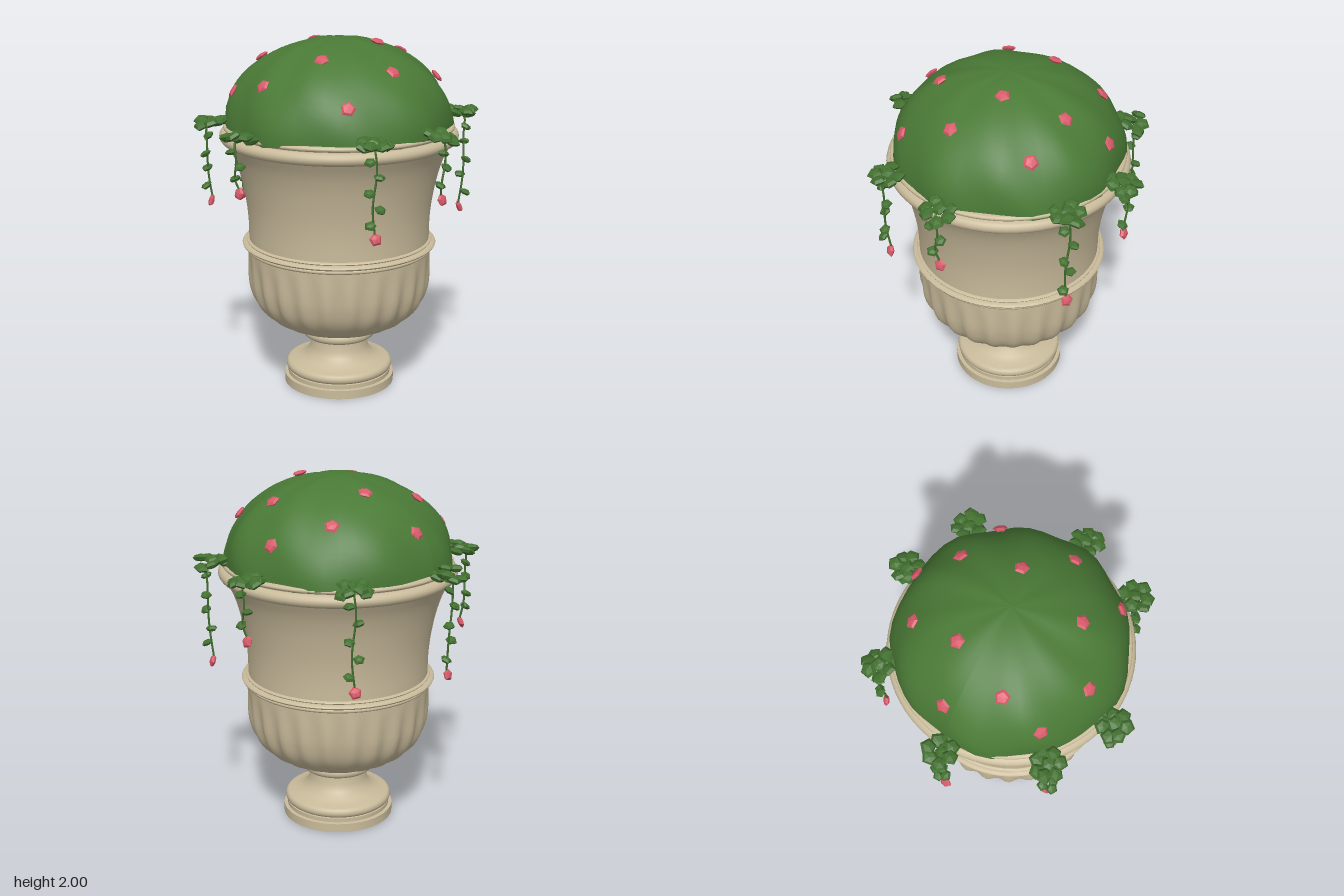
import * as THREE from 'three';
import { toCreasedNormals } from 'three/addons/utils/BufferGeometryUtils.js';

const stone = new THREE.MeshStandardMaterial({ color: 0xc9bb9b, side: THREE.DoubleSide });
const green = new THREE.MeshStandardMaterial({ color: 0x4a7a36, side: THREE.DoubleSide });
const leafGreen = new THREE.MeshStandardMaterial({ color: 0x42702f, flatShading: true });
const pink = new THREE.MeshStandardMaterial({ color: 0xd85a6a, flatShading: true });
const UP = new THREE.Vector3(0, 1, 0);

let seed = 7;
function rand(a, b) {
  seed = (seed * 16807) % 2147483647;
  return a + (b - a) * seed / 2147483647;
}

function named(geometry, material, name) {
  const mesh = new THREE.Mesh(geometry, material);
  mesh.name = name;
  return mesh;
}

function turned(points, name) {
  const geo = new THREE.LatheGeometry(points.map(p => new THREE.Vector2(...p)), 72);
  return named(toCreasedNormals(geo, 0.7), stone, name);
}

// Half-round bead bulging outward from radius r
function bead(r, y, bulge, half) {
  const pts = [];
  for (let i = 0; i <= 8; i++) {
    const a = -Math.PI / 2 + Math.PI * i / 8;
    pts.push([r + bulge * Math.cos(a), y + half * Math.sin(a)]);
  }
  return pts;
}

// Bowl with rounded gadroons that fade out at both ends
function bowl() {
  const curve = new THREE.SplineCurve([
    [0.17, 0.33], [0.28, 0.355], [0.39, 0.41], [0.465, 0.49], [0.5, 0.58], [0.512, 0.68], [0.515, 0.82],
  ].map(p => new THREE.Vector2(...p)));
  const geo = new THREE.LatheGeometry(curve.getPoints(24), 144);
  const pos = geo.attributes.position;
  for (let i = 0; i < pos.count; i++) {
    const x = pos.getX(i), z = pos.getZ(i), y = pos.getY(i);
    const fade = Math.sin(Math.PI * THREE.MathUtils.clamp((y - 0.33) / 0.47, 0, 1));
    const k = 1 + 0.022 * fade * (Math.cos(24 * Math.atan2(x, z)) - 0.3);
    pos.setXYZ(i, x * k, y, z * k);
  }
  return named(toCreasedNormals(geo, 0.9), stone, 'flutedBowl');
}

// Height of the flower mound above the rim
const moundY = r => 1.5 + 0.49 * Math.sqrt(Math.max(0, 1 - (r / 0.63) ** 2));

// Gently uneven dome of foliage
function mound() {
  const geo = new THREE.SphereGeometry(1, 48, 18, 0, Math.PI * 2, 0, Math.PI * 0.5);
  const pos = geo.attributes.position;
  for (let i = 0; i < pos.count; i++) {
    const x = pos.getX(i), y = pos.getY(i), z = pos.getZ(i);
    const a = Math.atan2(z, x), r = Math.hypot(x, z);
    const k = 1 + r * (0.012 * Math.sin(5 * a + 3 * y) + 0.012 * Math.sin(9 * a - 5 * y + 1));
    const edge = 0.012 * Math.sin(11 * a) * (1 - y);
    pos.setXYZ(i, x * 0.63 * k, 1.51 + edge + y * 0.488 * k, z * 0.63 * k);
  }
  geo.computeVertexNormals();
  return named(geo, green, 'foliageMound');
}

// Five-sided lens shared by leaves and blossoms
const lens = new THREE.SphereGeometry(1, 5, 4);
function petalDisc(position, normal, radius, thickness, material, name) {
  const mesh = named(lens, material, name);
  mesh.position.copy(position);
  mesh.quaternion.setFromUnitVectors(UP, normal.clone().normalize());
  mesh.rotateY(rand(0, 6.28));
  mesh.scale.set(radius, thickness, radius);
  return mesh;
}

// Trailing vine: arches over the rim, hangs to y = bottom, ends in a blossom
function vine(x, z, bottom) {
  const group = new THREE.Group();
  group.name = 'trailingVine';
  const out = new THREE.Vector3(x, 0, z).normalize();
  const side = new THREE.Vector3(out.z, 0, -out.x);
  const at = (r, y, s = 0) => out.clone().multiplyScalar(r).addScaledVector(side, s).setY(y);
  const path = new THREE.CatmullRomCurve3([
    at(0.6, 1.53), at(0.67, 1.56), at(0.725, 1.53), at(0.73, 1.42, 0.01),
    at(0.725, (1.42 + bottom) / 2, -0.01), at(0.705, bottom + 0.02, 0.01),
  ]);
  group.add(named(new THREE.TubeGeometry(path, 28, 0.006, 5), leafGreen, 'stem'));

  // Dense tuft over the rim
  const tuft = [[0.62, 0], [0.66, 0.045], [0.66, -0.04], [0.7, 0.01], [0.71, 0.065], [0.72, -0.06], [0.76, 0.03], [0.755, -0.03]];
  for (const [r, s] of tuft) {
    const tilt = UP.clone().addScaledVector(out, rand(-0.1, 0.5)).addScaledVector(side, rand(-0.4, 0.4));
    group.add(petalDisc(at(r, rand(1.525, 1.57), s), tilt, 0.045, 0.021, leafGreen, 'leaf'));
  }

  // Leaves alternate down the hanging stem
  const count = Math.round((1.46 - bottom) / 0.09);
  for (let i = 0; i < count; i++) {
    const y = 1.47 - i * (1.45 - bottom) / count;
    const tilt = UP.clone().addScaledVector(out, rand(0, 0.7)).addScaledVector(side, rand(-0.3, 0.3));
    const p = at(0.73 + rand(-0.015, 0.015), y, i % 2 ? 0.025 : -0.025);
    group.add(petalDisc(p, tilt, 0.033, 0.017, leafGreen, 'leaf'));
  }
  const face = out.clone().addScaledVector(UP, 0.35);
  group.add(petalDisc(at(0.715, bottom + 0.02, 0.01), face, 0.036, 0.016, pink, 'vineBlossom'));
  return group;
}

export function createModel() {
  const model = new THREE.Group();
  model.name = 'flowerUrn';

  // Foot: plinth, bead, cavetto and collar
  model.add(turned([
    [0, 0], [0.315, 0], [0.315, 0.05], [0.295, 0.052], [0.295, 0.075],
    ...bead(0.28, 0.105, 0.025, 0.028),
    [0.25, 0.14], [0.21, 0.155], [0.18, 0.185], [0.165, 0.22], [0.16, 0.27],
    ...bead(0.185, 0.305, 0.023, 0.028), [0.17, 0.34],
  ], 'foot'));
  model.add(bowl());

  // Waist band
  model.add(turned([
    [0.49, 0.805], ...bead(0.515, 0.822, 0.012, 0.012),
    ...bead(0.515, 0.846, 0.031, 0.014), ...bead(0.505, 0.866, 0.018, 0.009), [0.49, 0.875],
  ], 'waistBand'));

  // Flaring neck with rolled rim and inner wall
  const neck = new THREE.SplineCurve([
    [0.508, 0.86], [0.51, 0.98], [0.522, 1.1], [0.55, 1.24], [0.585, 1.35], [0.625, 1.43],
  ].map(p => new THREE.Vector2(...p))).getPoints(20).map(p => [p.x, p.y]);
  model.add(turned([
    ...neck, ...bead(0.625, 1.463, 0.037, 0.035), ...bead(0.625, 1.515, 0.015, 0.014),
    [0.6, 1.53], [0.585, 1.5], [0.57, 1.42], [0, 1.42],
  ], 'neckAndRim'));

  model.add(mound());

  // Blossoms scattered over the mound
  const blossoms = [
    [0, -0.58], [-0.27, -0.42], [0.14, -0.39], [0.42, -0.33], [-0.55, -0.06], [-0.28, -0.14], [0.21, -0.07],
    [0.44, 0.11], [-0.39, 0.19], [0.14, 0.33], [-0.4, 0.42], [0.39, 0.43], [-0.1, 0.52],
  ];
  for (const [x, z] of blossoms) {
    const y = moundY(Math.hypot(x, z)) + 0.025;
    const normal = new THREE.Vector3(x / 0.397, (y - 1.5) / 0.24, z / 0.397);
    model.add(petalDisc(new THREE.Vector3(x, y, z), normal, 0.042, 0.014, pink, 'blossom'));
  }

  // Vines hanging around the rim
  const vines = [
    [0.07, -0.7, 1.2], [0.45, -0.55, 0.97], [0.7, 0.05, 1.19], [0.55, 0.43, 1.04],
    [-0.12, 0.69, 1.23], [-0.48, 0.51, 1.09], [-0.7, 0.01, 0.97], [-0.48, -0.52, 0.98],
  ];
  for (const v of vines) model.add(vine(...v));
  return model;
}
